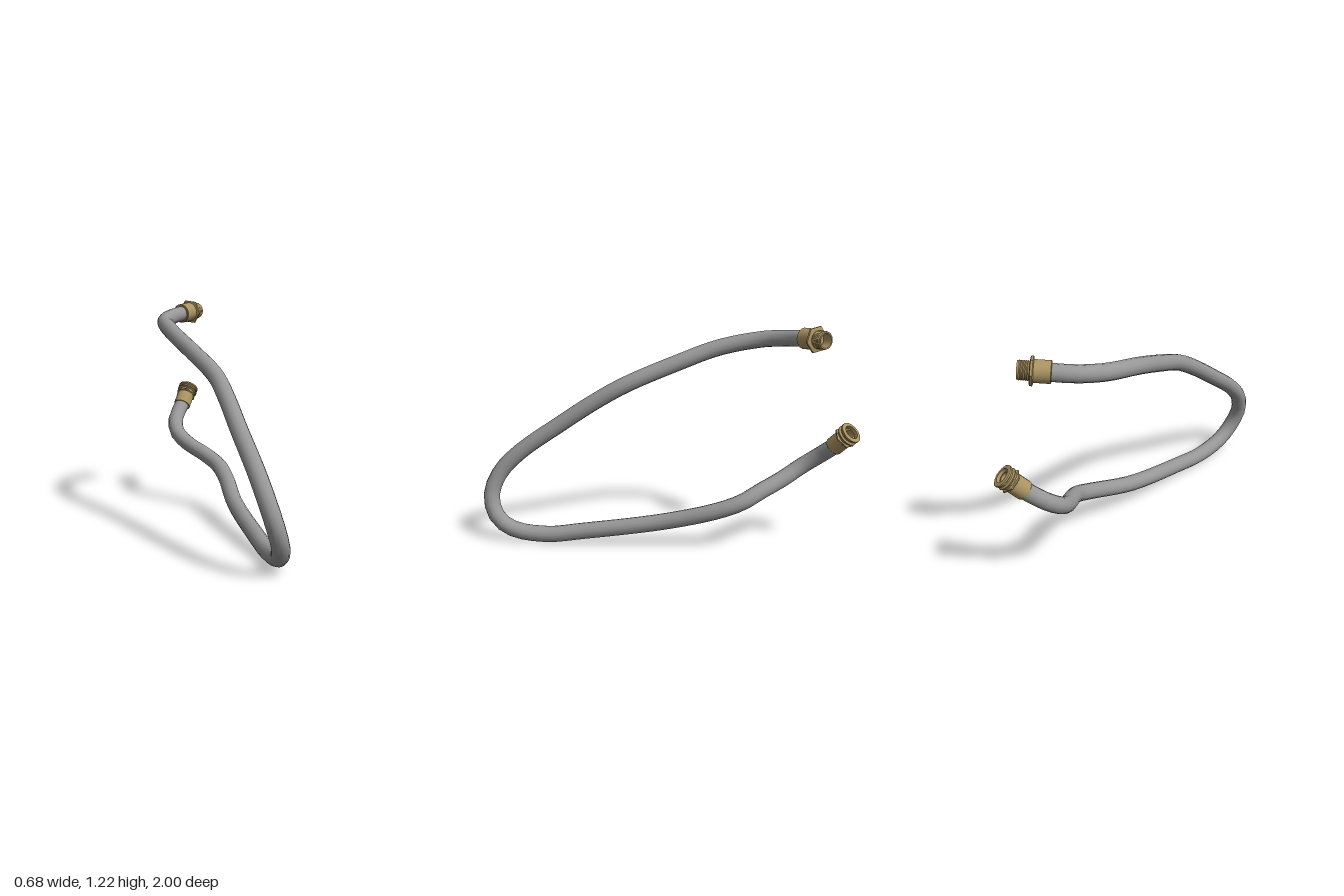
import * as THREE from 'three';
import { toCreasedNormals } from 'three/addons/utils/BufferGeometryUtils.js';

const V = (x, y, z) => new THREE.Vector3(x, y, z);

export function createModel() {
  const group = new THREE.Group();
  group.name = 'hoseWithFittings';
  const rubber = new THREE.MeshStandardMaterial({ color: 0x979797 });
  rubber.name = 'greyHose';
  const brass = new THREE.MeshStandardMaterial({ color: 0xab9462 });
  brass.name = 'brass';

  // Hose: one looped tube from the upper fitting to the lower one
  const path = new THREE.CatmullRomCurve3([
    V(-0.18, 1.15, -0.72), V(-0.21, 1.145, -0.68), V(-0.265, 1.13, -0.58), V(-0.295, 1.11, -0.44),
    V(-0.24, 1.06, -0.21), V(-0.135, 0.98, 0), V(-0.005, 0.87, 0.25), V(0.05, 0.775, 0.41),
    V(0.105, 0.65, 0.59), V(0.18, 0.487, 0.81), V(0.225, 0.37, 0.914), V(0.265, 0.25, 0.95),
    V(0.292, 0.14, 0.91), V(0.288, 0.075, 0.82), V(0.25, 0.05, 0.63), V(0.2, 0.075, 0.43),
    V(0.1, 0.145, 0), V(0.055, 0.225, -0.29), V(0.01, 0.275, -0.42), V(-0.065, 0.32, -0.5),
    V(-0.17, 0.37, -0.6), V(-0.235, 0.425, -0.68), V(-0.248, 0.49, -0.77),
    V(-0.215, 0.565, -0.86), V(-0.2, 0.605, -0.9),
  ], false, 'centripetal');
  const hose = new THREE.Mesh(new THREE.TubeGeometry(path, 72, 0.0445, 14), rubber);
  hose.name = 'hose';
  group.add(hose);

  // Turned part: profile of [radius, height] pairs, with crisp edges
  const turned = (name, profile, sides = 20) => {
    const pts = profile.map(([r, h]) => new THREE.Vector2(r, h));
    const mesh = new THREE.Mesh(toCreasedNormals(new THREE.LatheGeometry(pts, sides), 0.5), brass);
    mesh.name = name;
    return mesh;
  };

  // Fitting stood on its base and turned to point at its tip
  const fitting = (name, base, tip, parts) => {
    const g = new THREE.Group();
    g.name = name;
    g.add(...parts);
    g.position.copy(base);
    g.quaternion.setFromUnitVectors(V(0, 1, 0), tip.clone().sub(base).normalize());
    group.add(g);
  };

  // Fine thread between two heights
  const thread = (r, from, to, turns) => {
    const step = (to - from) / turns, out = [];
    for (let i = 0; i < turns; i++) {
      out.push([r - 0.003, from + i * step], [r, from + (i + 0.5) * step]);
    }
    return [...out, [r - 0.003, to]];
  };

  // Male end: sleeve, hexagonal flange and threaded open spout
  fitting('maleFitting', V(-0.21, 1.146, -0.68), V(-0.116, 1.16, -0.812), [
    turned('sleeve', [[0.043, 0], [0.053, 0], [0.056, 0.003], [0.056, 0.085], [0, 0.085]]),
    turned('hexFlange', [[0, 0.084], [0.064, 0.084], [0.073, 0.088], [0.073, 0.099], [0.064, 0.103], [0, 0.103]], 6),
    turned('threadedSpout', [[0.046, 0.1], ...thread(0.049, 0.105, 0.157, 5),
      [0.046, 0.163], [0.038, 0.163], [0.038, 0.106], [0, 0.106]]),
  ]);

  // Female end: sleeve, hexagonal nut and ribbed open collar
  fitting('femaleFitting', V(-0.212, 0.567, -0.862), V(-0.172, 0.668, -0.96), [
    turned('sleeve', [[0.042, 0], [0.049, 0], [0.051, 0.003], [0.051, 0.08], [0, 0.08]]),
    turned('hexNut', [[0, 0.08], [0.056, 0.08], [0.064, 0.085], [0.064, 0.092], [0.054, 0.097], [0, 0.097]], 6),
    turned('ribbedCollar', [[0.05, 0.095], [0.05, 0.104], [0.061, 0.11], [0.061, 0.115], [0.051, 0.121],
      [0.051, 0.128], [0.061, 0.134], [0.061, 0.143], [0.056, 0.146], [0.04, 0.146], [0.04, 0.1], [0, 0.1]]),
    turned('innerSeat', [[0.032, 0.1], [0.032, 0.132], [0.024, 0.132], [0.024, 0.101]]),
  ]);

  return group;
}
